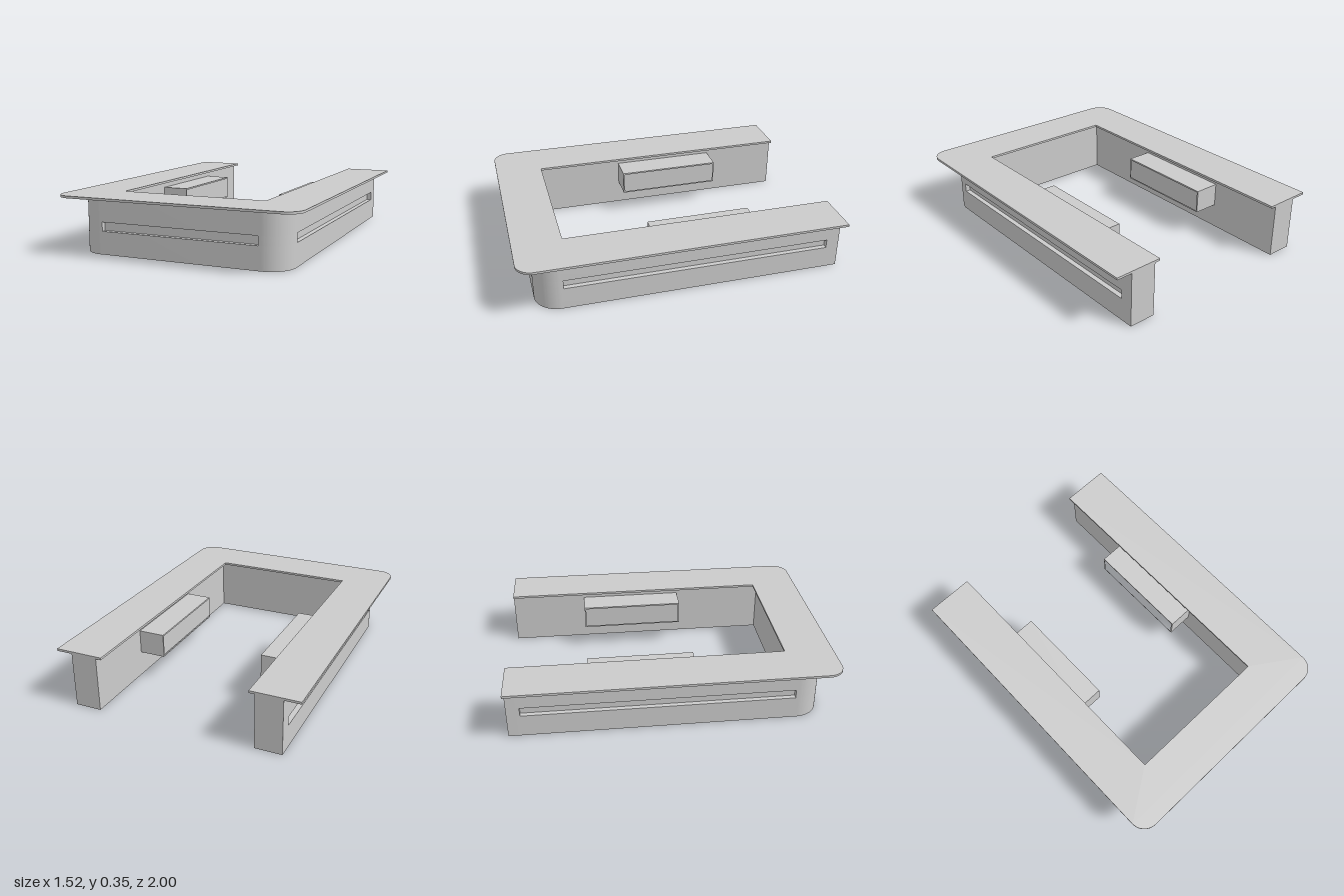
import * as THREE from 'three';
import { toCreasedNormals } from 'three/addons/utils/BufferGeometryUtils.js';

const material = new THREE.MeshStandardMaterial({ color: 0xcccccc });
const BACK = -1;

// U-shaped plan, open to the back; notch = depth of the slots cut in its outer walls
function uShape({ xo, zo, xi, zi, r, notch = 0 }) {
  const s = new THREE.Shape();
  const to = (x, z) => s.lineTo(x, -z);
  const slotX = 0.495, slotZ = [-0.92, 0.735];
  s.moveTo(-xo, -BACK);
  if (notch) {
    to(-xo, slotZ[0]); to(-xo + notch, slotZ[0]);
    to(-xo + notch, slotZ[1]); to(-xo, slotZ[1]);
  }
  to(-xo, zo - r);
  s.absarc(-xo + r, -zo + r, r, Math.PI, Math.PI * 1.5, false);
  if (notch) {
    to(-slotX, zo); to(-slotX, zo - notch);
    to(slotX, zo - notch); to(slotX, zo);
  }
  to(xo - r, zo);
  s.absarc(xo - r, -zo + r, r, Math.PI * 1.5, Math.PI * 2, false);
  if (notch) {
    to(xo, slotZ[1]); to(xo - notch, slotZ[1]);
    to(xo - notch, slotZ[0]); to(xo, slotZ[0]);
  }
  to(xo, BACK); to(xi, BACK); to(xi, zi); to(-xi, zi); to(-xi, BACK);
  s.closePath();
  return s;
}

// Raise a plan from height y0 to y1
function slab(name, plan, y0, y1) {
  const geo = new THREE.ExtrudeGeometry(uShape(plan), { depth: y1 - y0, bevelEnabled: false, curveSegments: 16 });
  geo.rotateX(-Math.PI / 2);
  geo.translate(0, y0, 0);
  const mesh = new THREE.Mesh(toCreasedNormals(geo, 0.5), material);
  mesh.name = name;
  return mesh;
}

// Open-sided shelf box: a rectangular frame standing out from the inner wall
function shelfBox(side) {
  const z0 = -0.51, z1 = 0.15, y0 = 0.155, y1 = 0.305, t = 0.01;
  const s = new THREE.Shape([[z0, y0], [z1, y0], [z1, y1], [z0, y1]].map(p => new THREE.Vector2(-p[0], p[1])));
  s.holes.push(new THREE.Path([[z0 + t, y0 + t], [z1 - t, y0 + t], [z1 - t, y1 - t], [z0 + t, y1 - t]]
    .map(p => new THREE.Vector2(-p[0], p[1]))));
  const geo = new THREE.ExtrudeGeometry(s, { depth: 0.165, bevelEnabled: false });
  geo.rotateY(Math.PI / 2);
  geo.translate(side > 0 ? 0.33 : -0.495, 0, 0);
  const mesh = new THREE.Mesh(geo, material);
  mesh.name = side > 0 ? 'leftShelfBox' : 'rightShelfBox';
  return mesh;
}

export function createModel() {
  const model = new THREE.Group();
  model.name = 'counter';

  // Body in three layers; the middle one carries the long recessed slots
  const plan = { xo: 0.66, zo: 0.9, xi: 0.495, zi: 0.735, r: 0.15 };
  const body = new THREE.Group();
  body.name = 'body';
  body.add(
    slab('lowerBody', plan, 0, 0.14),
    slab('slottedBody', { ...plan, notch: 0.03 }, 0.14, 0.195),
    slab('upperBody', plan, 0.195, 0.34)
  );

  // Overhanging top
  const top = slab('countertop', { xo: 0.76, zo: 1, xi: 0.46, zi: 0.7, r: 0.1 }, 0.34, 0.354);

  model.add(body, top, shelfBox(1), shelfBox(-1));
  return model;
}
